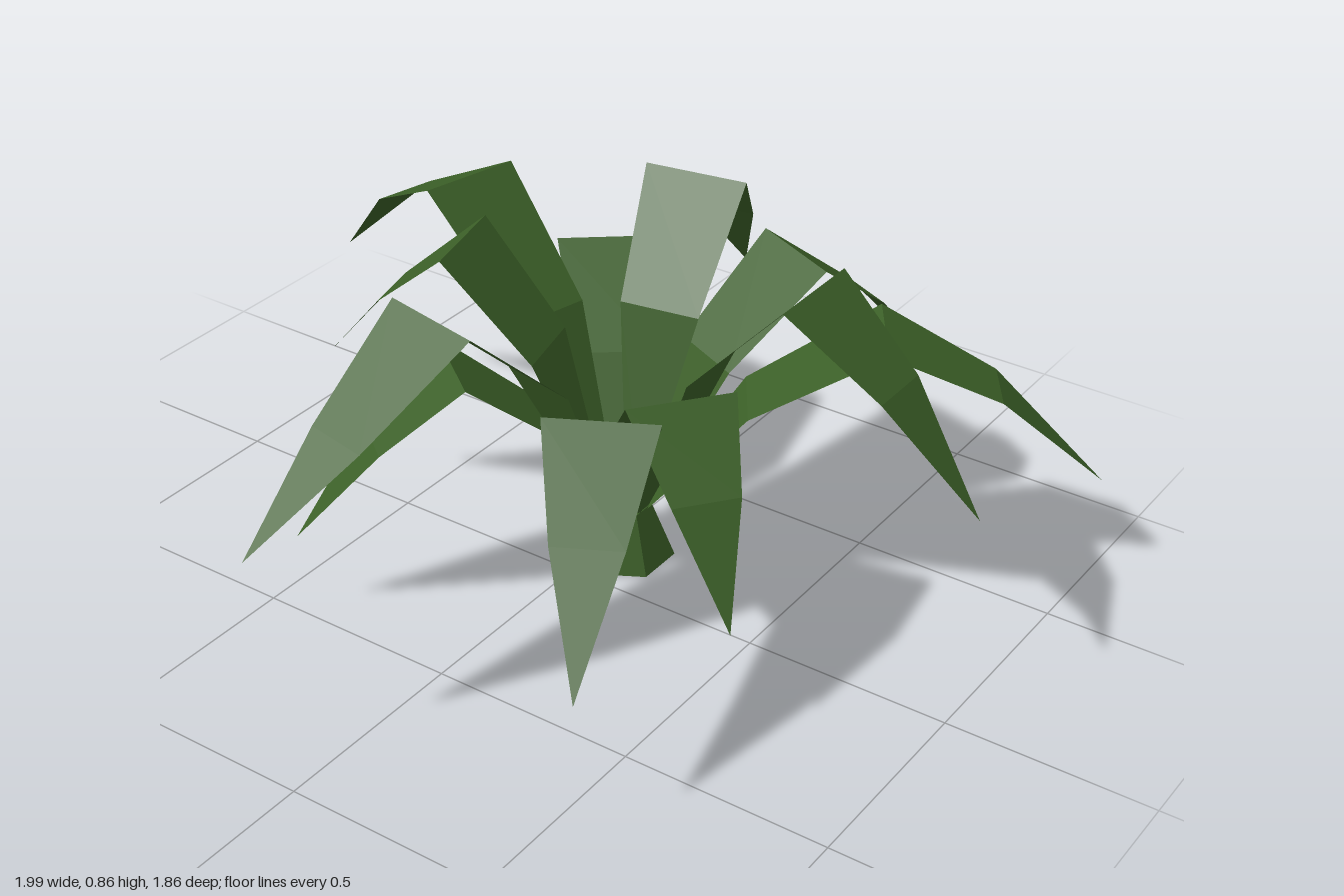
import * as THREE from 'three';

const leafGreen = new THREE.MeshStandardMaterial({ color: 0x3b5f27, flatShading: true, side: THREE.DoubleSide });
leafGreen.name = 'leafGreen';

// Centre of the plant
const CX = 0.055, CZ = -0.14;

// Each leaf: tip x, tip z, then height at the fold, the outer bend and the tip
const LEAVES = [
  [-0.59, -0.93, 0.575, 0.43, 0.18],
  [-0.07, -0.86, 0.84, 0.67, 0.45],
  [0.425, -0.925, 0.70, 0.54, 0.31],
  [0.99, -0.755, 0.62, 0.48, 0.23],
  [0.97, -0.14, 0.86, 0.69, 0.44],
  [0.625, 0.295, 0.635, 0.48, 0.25],
  [0.53, 0.735, 0.68, 0.52, 0.295],
  [-0.17, 0.925, 0.85, 0.66, 0.47],
  [-0.43, 0.48, 0.585, 0.42, 0.19],
  [-0.70, 0.04, 0.765, 0.60, 0.38],
  [-1.0, -0.40, 0.79, 0.655, 0.41],
];

// A flat blade built from straight cross-sections, ending in a point
function leafGeometry([tipX, tipZ, foldY, bendY, tipY]) {
  const dx = tipX - CX, dz = tipZ - CZ;
  const length = Math.hypot(dx, dz);
  const ux = dx / length, uz = dz / length;
  const rows = [ // distance out, height, half width
    [0.05, 0.13, 0.02],
    [0.25 * length, 0.13 + 0.62 * (foldY - 0.13), 0.1],
    [0.525 * length, foldY, 0.128],
    [0.767 * length, bendY, 0.08],
  ];
  const points = [], index = [];
  rows.forEach(([r, y, w], i) => {
    for (const s of [-1, 1]) points.push(CX + ux * r - uz * w * s, y, CZ + uz * r + ux * w * s);
    const a = i * 2;
    if (i < rows.length - 1) index.push(a, a + 1, a + 2, a + 1, a + 3, a + 2);
    else index.push(a, a + 1, a + 2);
  });
  points.push(tipX, tipY, tipZ);
  const geometry = new THREE.BufferGeometry();
  geometry.setAttribute('position', new THREE.Float32BufferAttribute(points, 3));
  geometry.setIndex(index);
  const faceted = geometry.toNonIndexed();
  faceted.computeVertexNormals();
  return faceted;
}

export function createModel() {
  const plant = new THREE.Group();
  plant.name = 'plant';

  // Six-sided tapered stem
  const stem = new THREE.Mesh(new THREE.CylinderGeometry(0.065, 0.122, 0.14, 6), leafGreen);
  stem.name = 'stem';
  stem.position.set(CX, 0.07, CZ);
  plant.add(stem);

  // Ring of drooping leaves
  const leaves = new THREE.Group();
  leaves.name = 'leaves';
  LEAVES.forEach((data, i) => {
    const leaf = new THREE.Mesh(leafGeometry(data), leafGreen);
    leaf.name = `leaf${i + 1}`;
    leaves.add(leaf);
  });
  plant.add(leaves);
  return plant;
}
